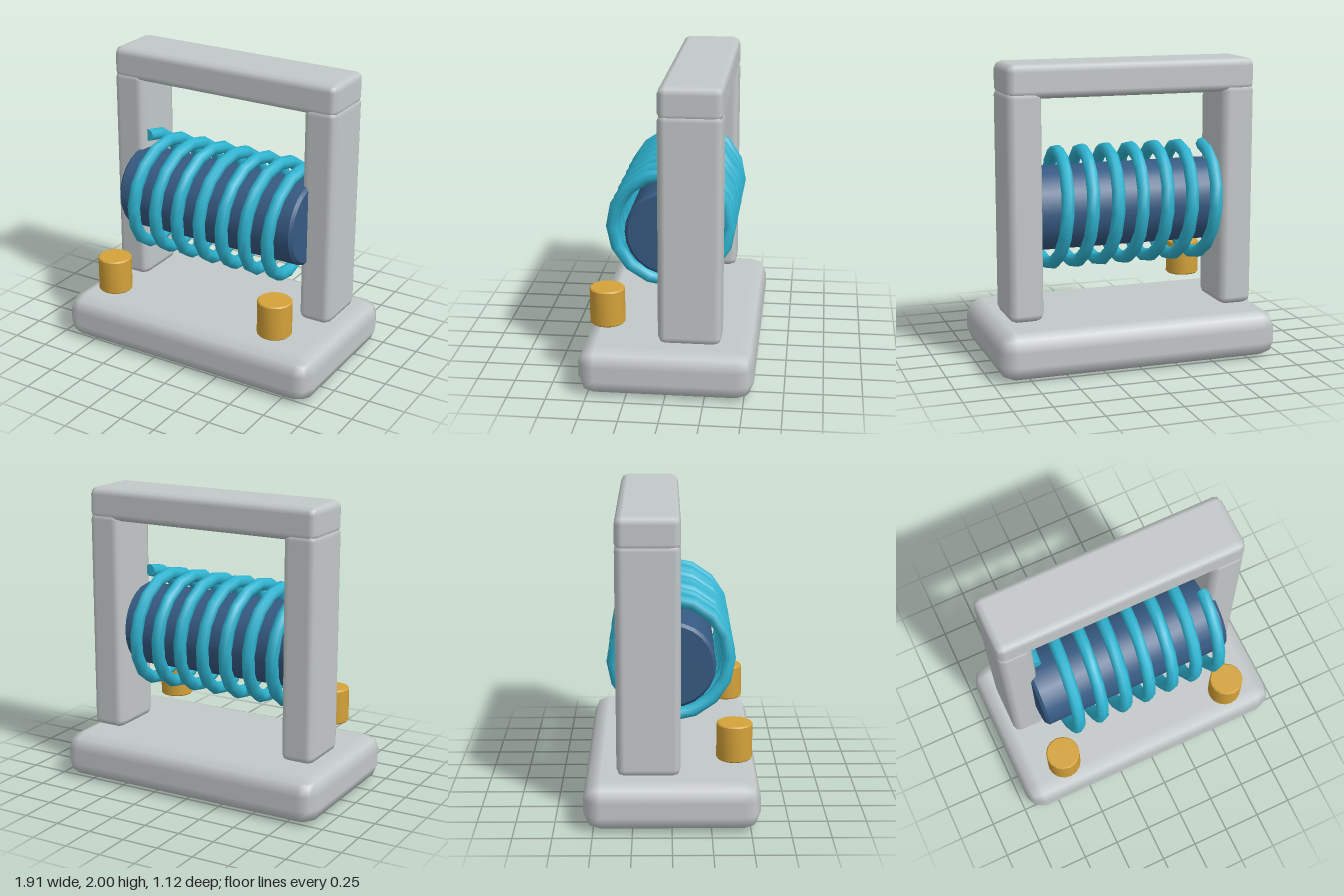
import * as THREE from 'three';
import { toCreasedNormals } from 'three/addons/utils/BufferGeometryUtils.js';
import { RoundedBoxGeometry } from 'three/addons/geometries/RoundedBoxGeometry.js';

const material = (name, color) => {
  const m = new THREE.MeshStandardMaterial({ color });
  m.name = name;
  return m;
};

export function createModel() {
  const grey = material('light grey', 0xc3c8c9);
  const navy = material('navy blue', 0x365a82);
  const cyan = material('cyan', 0x2fb5d2);
  const gold = material('gold', 0xd4a23a);
  const model = new THREE.Group();
  model.name = 'coilStand';

  const add = (name, geometry, mat, x = 0, y = 0, z = 0) => {
    const mesh = new THREE.Mesh(geometry, mat);
    mesh.name = name;
    mesh.position.set(x, y, z);
    model.add(mesh);
    return mesh;
  };

  // Cylinder about y with small bevelled rims
  const bevelledCylinder = (r, h, b, sides) => toCreasedNormals(new THREE.LatheGeometry(
    [[0, -h / 2], [r - b, -h / 2], [r, -h / 2 + b], [r, h / 2 - b], [r - b, h / 2], [0, h / 2]]
      .map(([x, y]) => new THREE.Vector2(x, y)), sides), 0.6);

  // Base slab and the frame above it
  add('base', new RoundedBoxGeometry(1.91, 0.315, 1.125, 1, 0.11), grey, 0, 0.1575, 0);
  add('topBeam', new RoundedBoxGeometry(1.68, 0.22, 0.405, 1, 0.05), grey, 0, 1.89, -0.148);

  // Posts and terminals, one on each side
  for (const [side, s] of [['left', 1], ['right', -1]]) {
    add(side + 'Post', new RoundedBoxGeometry(0.23, 1.5, 0.405, 1, 0.05), grey, s * 0.727, 1.085, -0.148);
    add(side + 'Terminal', bevelledCylinder(0.115, 0.24, 0.008, 16), gold, s * 0.627, 0.515, 0.4);
  }

  // Core lying along x
  add('core', bevelledCylinder(0.28, 1.335, 0.02, 24), navy, 0, 1.02, 0).rotation.z = Math.PI / 2;

  // Winding: seven turns, starting at the top and going to the back
  const turns = 7, perTurn = 16, ring = 0.372, wire = 0.043;
  class Helix extends THREE.Curve {
    getPoint(t, target = new THREE.Vector3()) {
      const a = t * turns * Math.PI * 2;
      return target.set(-0.606 + 1.197 * t, 1.02 + ring * Math.cos(a), -ring * Math.sin(a));
    }
  }
  const helix = new Helix();
  add('winding', new THREE.TubeGeometry(helix, turns * perTurn, wire, 8, false), cyan);

  // Caps on the two wire ends
  for (const [name, t, dir] of [['wireStart', 0, -1], ['wireEnd', 1, 1]]) {
    const p = helix.getPoint(t);
    const cap = add(name, new THREE.CircleGeometry(wire, 8), cyan, p.x, p.y, p.z);
    cap.lookAt(p.clone().addScaledVector(helix.getTangent(t), dir));
  }

  return model;
}
